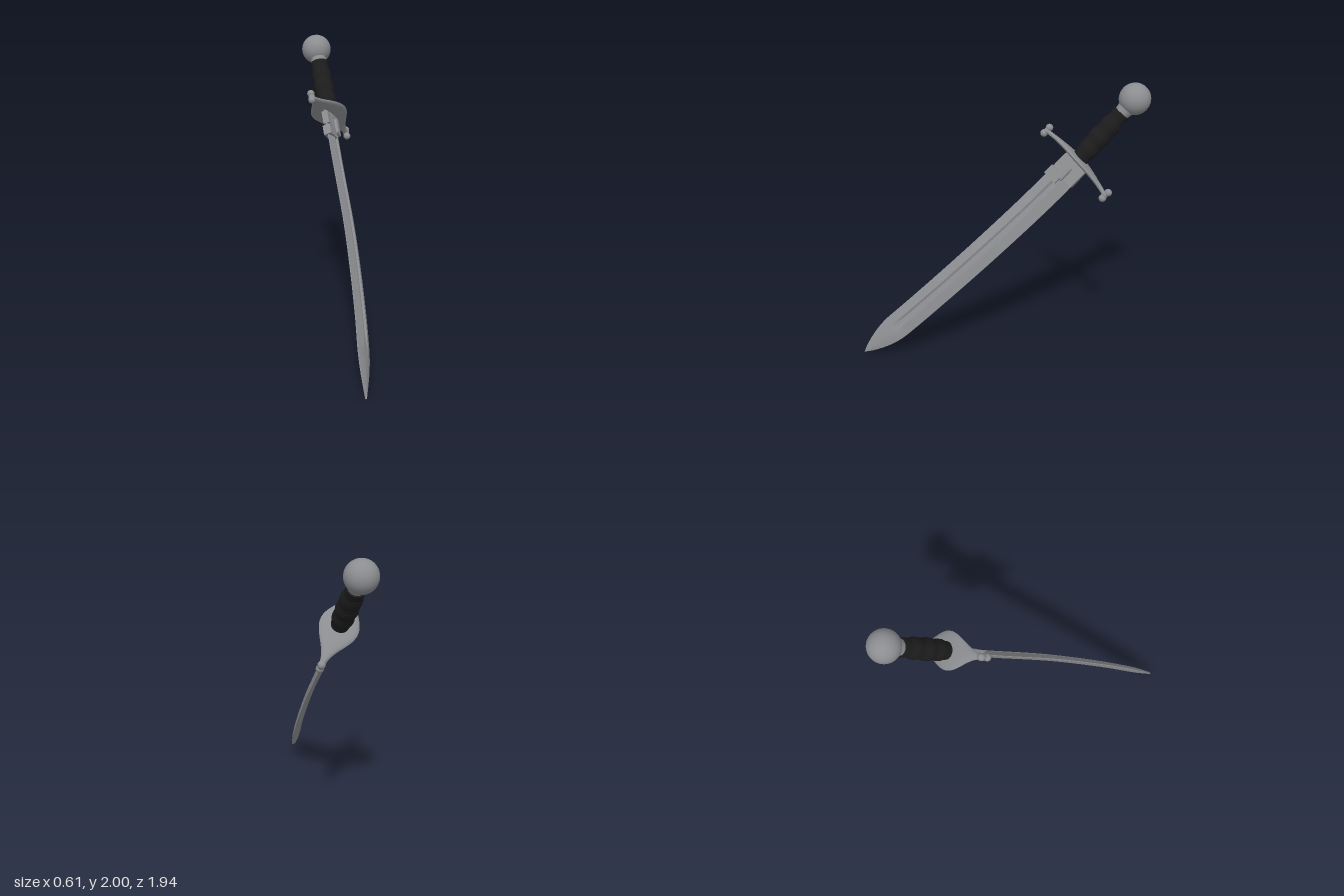
import * as THREE from 'three';
import { toCreasedNormals } from 'three/addons/utils/BufferGeometryUtils.js';

const V = (x, y, z) => new THREE.Vector3(x, y, z);

// Closed solid through a list of equal-sized rings (counter-clockwise about the travel direction)
function loft(rings, crease) {
  const n = rings[0].length, pos = [], idx = [];
  rings.forEach(r => r.forEach(p => pos.push(p.x, p.y, p.z)));
  for (let i = 0; i < rings.length - 1; i++) {
    for (let j = 0; j < n; j++) {
      const a = i * n + j, b = i * n + (j + 1) % n;
      idx.push(a, b, b + n, a, b + n, a + n);
    }
  }
  [0, rings.length - 1].forEach((k, end) => {
    const c = rings[k].reduce((s, p) => s.add(p), V(0, 0, 0)).divideScalar(n);
    const ci = pos.length / 3;
    pos.push(c.x, c.y, c.z);
    for (let j = 0; j < n; j++) {
      const a = k * n + j, b = k * n + (j + 1) % n;
      if (end) idx.push(ci, a, b); else idx.push(ci, b, a);
    }
  });
  const g = new THREE.BufferGeometry();
  g.setAttribute('position', new THREE.Float32BufferAttribute(pos, 3));
  g.setIndex(idx);
  return toCreasedNormals(g, crease);
}

export function createModel() {
  const model = new THREE.Group();
  const steel = new THREE.MeshStandardMaterial({ color: 0x8b8d90 });
  steel.name = 'steel';
  const leather = new THREE.MeshStandardMaterial({ color: 0x1c1c1c });
  leather.name = 'black leather';
  const add = (name, geo, mat, parent = model) => {
    const m = new THREE.Mesh(geo, mat);
    m.name = name;
    parent.add(m);
    return m;
  };

  // Main directions: t down the blade, w across it, n out of its flat
  const hub = V(0.075, 1.47, -0.485), pommelAt = V(0.13, 1.895, -0.86);
  const t = V(-0.13, -0.71, 0.69).normalize();
  const w = V(0.65, -0.61, -0.456).addScaledVector(t, -0.03).normalize();
  const n = t.clone().cross(w);

  // Blade: gently curved, with a fuller that fades out before the point
  const spine = new THREE.CatmullRomCurve3([
    hub, V(0.028, 1.2, -0.235), V(-0.05, 0.8, 0.165), V(-0.158, 0.4, 0.565),
    V(-0.225, 0.2, 0.765), V(-0.302, 0.003, 0.968),
  ]);
  const outline = u => {
    const d = (1 - u) / 0.17;
    return d >= 1 ? 0.095 : 0.003 + 0.092 * Math.pow(Math.sin(d * Math.PI / 2), 0.85);
  };
  const half = [[-1, -0.12], [-0.3, -1], [-0.16, -0.45], [0.16, -0.45], [0.3, -1], [1, -0.12]];
  const section = [...half, ...half.map(([a, b]) => [-a, -b])];
  const rings = [];
  for (let i = 0; i <= 60; i++) {
    const u = i / 60, c = spine.getPointAt(u), tan = spine.getTangentAt(u);
    const nn = tan.cross(w).normalize(), hw = outline(u);
    const thick = 0.021 * Math.min(1, 0.25 + hw / 0.12);
    const fade = THREE.MathUtils.smoothstep(u, 0.78, 0.88);
    rings.push(section.map(([a, b]) => {
      const v = Math.abs(b) === 0.45 ? Math.sign(b) * (0.45 + 0.55 * fade) : b;
      return c.clone().addScaledVector(w, a * hw).addScaledVector(nn, v * thick);
    }));
  }
  add('blade', loft(rings, 0.5), steel);

  // Ricasso plate and clasps below the guard: offset across, distance down, size
  const fittings = new THREE.Group();
  fittings.name = 'bladeFittings';
  model.add(fittings);
  const place = (mesh, a, out, d) => {
    const u = d / spine.getLength(), tan = spine.getTangentAt(u);
    const nn = tan.clone().cross(w).normalize(), ww = nn.clone().cross(tan);
    mesh.quaternion.setFromRotationMatrix(new THREE.Matrix4().makeBasis(ww, nn, tan));
    mesh.position.copy(spine.getPointAt(u)).addScaledVector(w, a).addScaledVector(nn, out);
  };
  [['ricassoPlate', 0.035, 0.07, 0.125, 0.05, 0.14],
    ['innerClasp', -0.055, 0.06, 0.075, 0.044, 0.1],
    ['outerClasp', -0.05, 0.165, 0.105, 0.056, 0.075]].forEach(([name, a, d, sx, sy, sz]) => {
    place(add(name, new THREE.BoxGeometry(sx, sy, sz), steel, fittings), a, 0, d);
  });
  for (const side of [-1, 1]) {
    const lug = new THREE.CapsuleGeometry(0.014, 0.09, 6, 12).rotateX(Math.PI / 2);
    place(add('claspLug', lug, steel, fittings), 0.01, side * 0.032, 0.1);
  }

  // Guard: leaf-shaped plate whose arms droop toward the blade
  const armPoint = s => hub.clone().addScaledVector(w, s * 0.285)
    .addScaledVector(t, 0.028 * s * s - 0.025);
  const guardRings = [];
  for (let i = 0; i <= 32; i++) {
    const s = i / 16 - 1, k = Math.cos(s * Math.PI / 2) ** 2;
    const ring = [];
    for (let j = 0; j < 20; j++) {
      const a = j / 20 * Math.PI * 2;
      ring.push(armPoint(s).addScaledVector(n, Math.cos(a) * (0.019 + 0.108 * k))
        .addScaledVector(t, Math.sin(a) * (0.015 + 0.006 * k)));
    }
    guardRings.push(ring);
  }
  add('guard', loft(guardRings, 1), steel);

  // Two-lobed knobs at both guard ends
  for (const side of [-1, 1]) {
    const knob = new THREE.Group();
    knob.name = 'guardKnob';
    model.add(knob);
    const c = armPoint(side).addScaledVector(w, side * 0.008);
    for (const e of [-1, 1]) {
      add('knobLobe', new THREE.SphereGeometry(0.026, 18, 12), steel, knob)
        .position.copy(c).addScaledVector(t, e * 0.026).addScaledVector(w, side * 0.006);
    }
    const bridge = add('knobBridge', new THREE.SphereGeometry(0.025, 18, 12), steel, knob);
    bridge.position.copy(c);
    bridge.scale.setScalar(0.95);
  }

  // Hilt stands along local y from the guard to the pommel
  const hilt = new THREE.Group();
  hilt.name = 'hilt';
  const axis = pommelAt.clone().sub(hub), L = axis.length();
  hilt.position.copy(hub);
  hilt.quaternion.setFromUnitVectors(V(0, 1, 0), axis.normalize());
  model.add(hilt);

  // Grip: wrapped leather with soft swells and fine cord ridges
  const top = L - 0.125, profile = [new THREE.Vector2(0, 0.01)];
  for (let i = 0; i <= 72; i++) {
    const u = i / 72;
    const r = 0.058 + 0.012 * Math.sin(Math.PI * u)
      + 0.0035 * Math.cos(u * Math.PI * 8) + 0.0015 * Math.cos(i * Math.PI / 2);
    profile.push(new THREE.Vector2(r, 0.01 + u * (top - 0.01)));
  }
  profile.push(new THREE.Vector2(0, top));
  add('grip', toCreasedNormals(new THREE.LatheGeometry(profile, 32), 0.9), leather, hilt);

  // Flared collar and ball pommel
  add('collar', new THREE.CylinderGeometry(0.06, 0.05, 0.06, 32), steel, hilt)
    .position.y = top + 0.022;
  add('pommel', new THREE.SphereGeometry(0.106, 40, 28), steel, hilt).position.y = L;

  return model;
}
